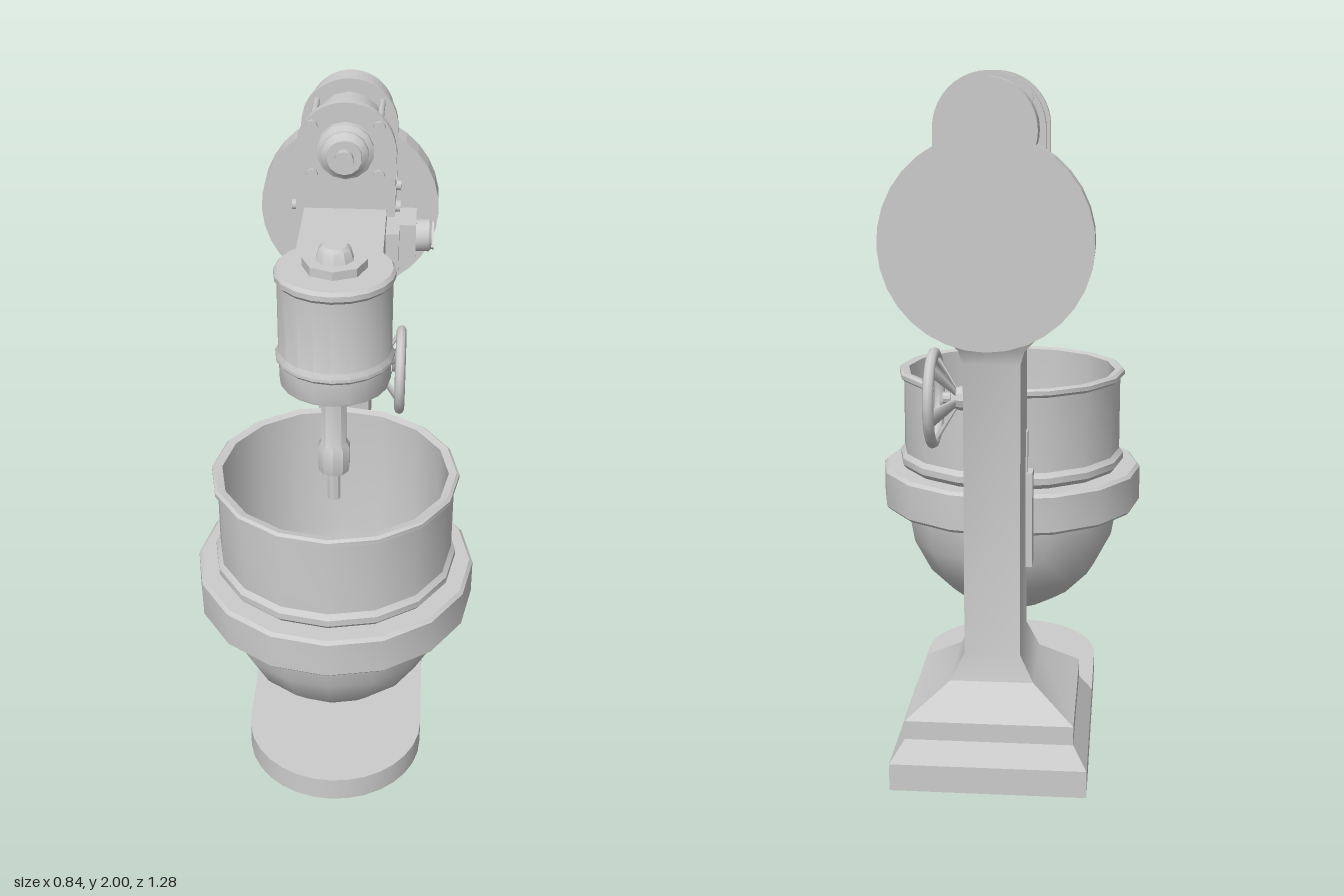
import * as THREE from 'three';
import { toCreasedNormals } from 'three/addons/utils/BufferGeometryUtils.js';

const grey = new THREE.MeshStandardMaterial({ color: 0xcccccc });
const greyOpen = new THREE.MeshStandardMaterial({ color: 0xcccccc, side: THREE.DoubleSide });

export function createModel() {
  const model = new THREE.Group();

  const add = (name, geometry, parent = model, material = grey) => {
    const mesh = new THREE.Mesh(geometry, material);
    mesh.name = name;
    parent.add(mesh);
    return mesh;
  };
  const box = (name, x, y, z) => // each argument is a [min, max] pair
    add(name, new THREE.BoxGeometry(x[1] - x[0], y[1] - y[0], z[1] - z[0])
      .translate((x[0] + x[1]) / 2, (y[0] + y[1]) / 2, (z[0] + z[1]) / 2));
  const lathe = (profile, sides) => // profile: [radius, height], outside going up
    toCreasedNormals(new THREE.LatheGeometry(profile.map(p => new THREE.Vector2(...p)), sides), 0.5);
  const loft = rings => { // open skin through rings of equal point count
    const n = rings[0].length, index = [];
    for (let r = 0; r < rings.length - 1; r++) {
      for (let i = 0; i < n; i++) {
        const a = r * n + i, b = r * n + (i + 1) % n;
        index.push(a, b, b + n, a, b + n, a + n);
      }
    }
    const g = new THREE.BufferGeometry();
    g.setAttribute('position', new THREE.Float32BufferAttribute(rings.flat(2), 3));
    g.setIndex(index);
    return toCreasedNormals(g, 0.5);
  };

  // Base: hollow plate with a round front
  const outline = back => {
    const pts = [[0.28, back], [-0.28, back]];
    for (let i = 0; i <= 16; i++) {
      const a = Math.PI * (1 - i / 16);
      pts.push([0.28 * Math.cos(a), 0.23 + 0.28 * Math.sin(a)]);
    }
    return pts;
  };
  const wall = y => outline(-0.63).map(([x, z]) => [x, y, z]);
  add('baseWall', loft([wall(0), wall(0.08)]), model, greyOpen);
  const top = new THREE.Shape(outline(-0.07).map(([x, z]) => new THREE.Vector2(x, -z)));
  add('baseTop', new THREE.ShapeGeometry(top).rotateX(-Math.PI / 2).translate(0, 0.08, 0), model, greyOpen);

  // Column: stepped foot, straight shaft and flared top (height, half width, front z, back z)
  const sections = [
    [0.08, 0.28, -0.07, -0.63], [0.14, 0.24, -0.105, -0.59], [0.195, 0.24, -0.105, -0.59],
    [0.28, 0.12, -0.2, -0.49], [0.36, 0.08, -0.21, -0.475], [1.21, 0.08, -0.21, -0.475],
    [1.25, 0.092, -0.2, -0.487], [1.29, 0.128, -0.17, -0.515], [1.31, 0.128, -0.165, -0.518]
  ];
  add('column', loft(sections.map(([y, w, f, b]) => [[w, y, f], [w, y, b], [-w, y, b], [-w, y, f]])), model, greyOpen);

  // Bowl slide on the front of the column
  box('slidePlate', [-0.1, 0.1], [0.55, 0.84], [-0.26, -0.195]);
  box('slideRail', [-0.085, 0.085], [0.84, 0.965], [-0.255, -0.22]);

  // Bowl and its carrying ring
  add('bowl', lathe([
    [0, 0.28], [0.12, 0.28], [0.2, 0.325], [0.275, 0.4], [0.33, 0.505], [0.35, 0.62], [0.352, 0.75],
    [0.365, 0.765], [0.365, 0.785], [0.352, 0.8], [0.352, 1.035], [0.366, 1.045], [0.366, 1.058],
    [0.358, 1.065], [0.335, 1.06], [0.332, 0.62], [0.31, 0.505], [0.255, 0.41], [0.18, 0.335], [0, 0.3]
  ], 16)).position.z = 0.22;
  add('bowlRing', lathe([
    [0.34, 0.62], [0.41, 0.62], [0.42, 0.63], [0.42, 0.74], [0.41, 0.75], [0.34, 0.75]
  ], 16)).position.z = 0.22;

  // Head arm: side outline (z, y) extruded across x
  const arm = new THREE.Shape([
    [-0.515, 1.31], [-0.165, 1.31], [-0.08, 1.43], [-0.075, 1.47], [0.2, 1.47],
    [0.2, 1.67], [-0.55, 1.67], [-0.55, 1.36], [-0.515, 1.36]
  ].map(p => new THREE.Vector2(...p)));
  add('arm', new THREE.ExtrudeGeometry(arm, { depth: 0.25, bevelEnabled: false })
    .translate(0, 0, -0.125).rotateY(-Math.PI / 2));

  // Gear drum with nut and cap
  add('drum', lathe([
    [0, 1.37], [0.155, 1.37], [0.158, 1.38], [0.158, 1.44], [0.168, 1.45], [0.168, 1.46], [0.16, 1.475],
    [0.16, 1.685], [0.168, 1.695], [0.168, 1.71], [0.16, 1.72], [0, 1.72]
  ], 20)).position.z = 0.22;
  add('drumNut', lathe([[0, 1.71], [0.09, 1.71], [0.09, 1.745], [0, 1.745]], 8)).position.z = 0.22;
  add('drumCap', lathe([[0, 1.74], [0.055, 1.74], [0.045, 1.775], [0.035, 1.785], [0, 1.785]], 10)).position.z = 0.22;

  // Off-centre spindle with a tool socket
  add('spindle', lathe([
    [0, 1], [0.02, 1], [0.02, 1.095], [0.045, 1.1], [0.048, 1.12], [0.048, 1.18],
    [0.037, 1.2], [0.037, 1.38], [0, 1.38]
  ], 10)).position.z = 0.27;

  // Belt housing: large and small circles joined in one outline
  const housing = new THREE.Shape();
  const R = 0.285, r = 0.135, d = 0.29;
  const reach = (d * d + R * R - r * r) / (2 * d), half = Math.sqrt(R * R - reach * reach);
  const big = Math.atan2(reach, half), small = Math.atan2(reach - d, half);
  housing.absarc(0, 1.56, R, Math.PI - big, 2 * Math.PI + big, false);
  housing.absarc(0, 1.56 + d, r, small, Math.PI - small, false);
  add('beltHousing', new THREE.ExtrudeGeometry(housing, { depth: 0.085, bevelEnabled: false, curveSegments: 14 })
    .translate(0, 0, -0.64));

  // Motor cradle: base strip and two round-topped end plates
  box('motorBase', [-0.15, 0.15], [1.645, 1.695], [-0.53, -0.295]);
  const plate = new THREE.Shape();
  plate.moveTo(-0.15, 1.66);
  plate.lineTo(0.15, 1.66);
  plate.absarc(0, 1.85, 0.15, 0, Math.PI, false);
  for (const z of [-0.317, -0.534]) {
    add('motorEndPlate', new THREE.ExtrudeGeometry(plate, { depth: 0.026, bevelEnabled: false, curveSegments: 10 })
      .translate(0, 0, z));
  }
  // Motor body, stepped front cap and shafts along z
  add('motor', lathe([
    [0, -0.56], [0.03, -0.56], [0.03, -0.52], [0.105, -0.52], [0.105, -0.3], [0.085, -0.29], [0.085, -0.275],
    [0.07, -0.265], [0.07, -0.25], [0.052, -0.235], [0.052, -0.225], [0.028, -0.225], [0.028, -0.2], [0, -0.2]
  ], 14).rotateX(Math.PI / 2)).position.y = 1.855;
  // Tie rods with end nuts, and cradle side bolts
  for (const x of [-0.1, 0.1]) {
    for (const y of [1.78, 1.93]) {
      add('tieRod', new THREE.CylinderGeometry(0.01, 0.01, 0.27, 8).rotateX(Math.PI / 2)).position.set(x, y, -0.412);
      for (const z of [-0.283, -0.541]) {
        add('tieRodNut', new THREE.CylinderGeometry(0.018, 0.018, 0.014, 8).rotateX(Math.PI / 2)).position.set(x, y, z);
      }
    }
    for (const z of [-0.32, -0.49]) {
      add('cradleBolt', new THREE.CylinderGeometry(0.016, 0.016, 0.02, 8).rotateZ(Math.PI / 2))
        .position.set(x * 1.54, 1.668, z);
    }
  }

  // Switch box and knob on the left side
  box('switchPlate', [0.12, 0.165], [1.5, 1.625], [-0.47, -0.21]);
  box('switchBox', [0.16, 0.215], [1.5, 1.625], [-0.415, -0.28]);
  add('switchKnob', lathe([[0, 0.2], [0.05, 0.2], [0.05, 0.255], [0.042, 0.263], [0, 0.263]], 14)
    .rotateZ(-Math.PI / 2)).position.set(0, 1.565, -0.345);
  add('knobBar', new THREE.BoxGeometry(0.012, 0.014, 0.085)).position.set(0.264, 1.565, -0.345);
  model.children.at(-1).rotation.x = 0.8;

  // Handwheel: built around y, then turned so its axis points to +x
  const wheel = new THREE.Group();
  wheel.name = 'handwheel';
  add('wheelRim', new THREE.TorusGeometry(0.13, 0.016, 8, 20).rotateX(Math.PI / 2), wheel).position.y = 0.178;
  add('wheelHub', lathe([
    [0, 0.07], [0.035, 0.07], [0.035, 0.1], [0.028, 0.125], [0.016, 0.13], [0.016, 0.15], [0, 0.15]
  ], 10), wheel);
  for (let i = 0; i < 5; i++) {
    const arm = new THREE.Group();
    arm.name = 'spokeArm';
    arm.rotation.y = i * Math.PI * 2 / 5;
    const dx = 0.11, dy = 0.07;
    const spoke = add('spoke', new THREE.CylinderGeometry(0.032, 0.014, Math.hypot(dx, dy), 4).scale(0.25, 1, 1), arm);
    spoke.position.set(0.075, 0.143, 0);
    spoke.rotation.z = -Math.atan2(dx, dy);
    wheel.add(arm);
  }
  wheel.rotation.z = -Math.PI / 2;
  wheel.position.set(0, 1.085, -0.35);
  model.add(wheel);

  return model;
}
